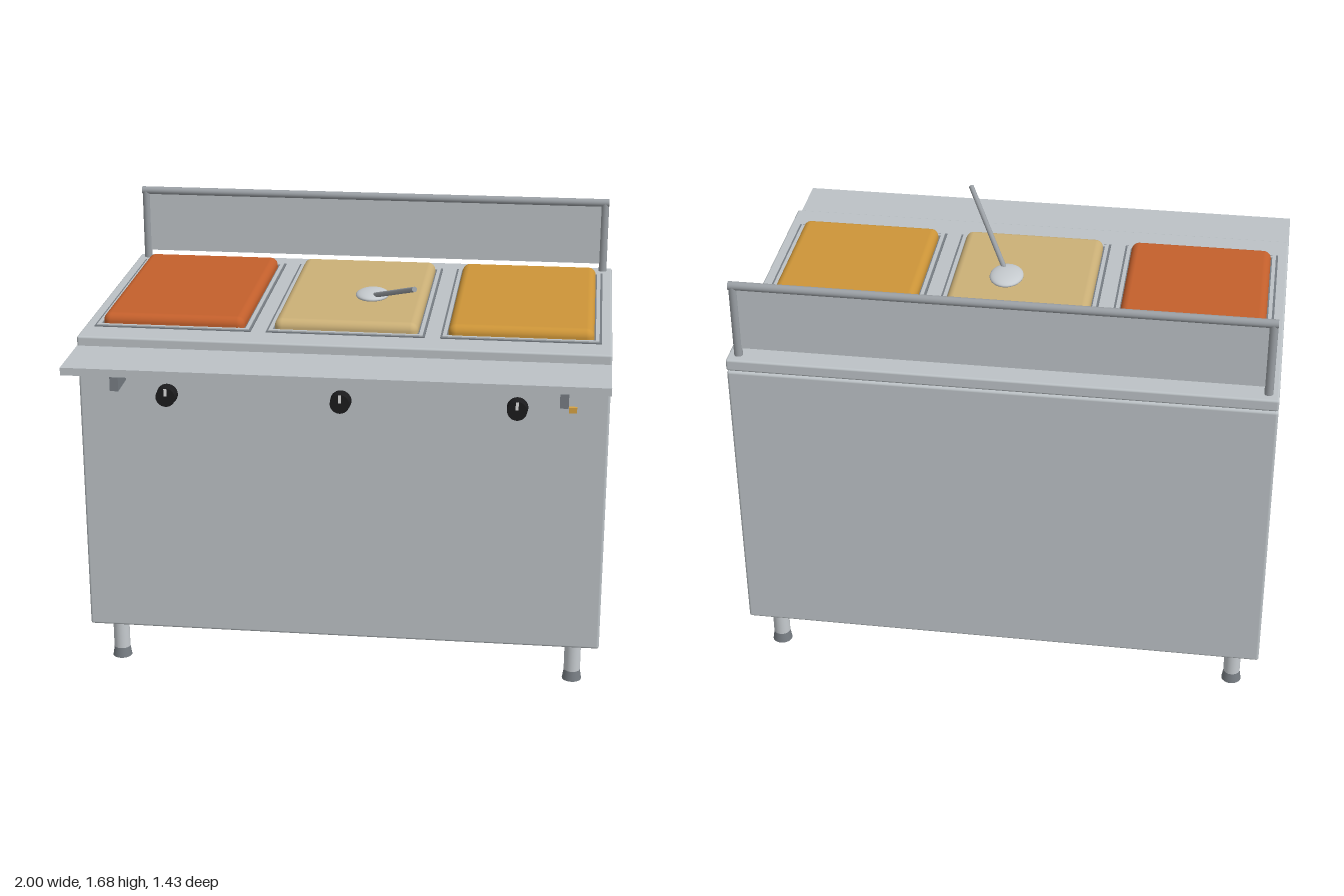
import * as THREE from 'three';
import { RoundedBoxGeometry } from 'three/addons/geometries/RoundedBoxGeometry.js';

const paint = (name, color) => Object.assign(new THREE.MeshStandardMaterial({ color }), { name });

export function createModel() {
  const model = new THREE.Group();
  model.name = 'heatedServingCounter';
  const steel = paint('brushed steel', 0xbcc2c6);
  const brightSteel = paint('polished steel', 0xc6cbcf);
  const midGrey = paint('rail grey', 0x9a9fa4);
  const darkGrey = paint('dark grey', 0x777d83);
  const black = paint('knob black', 0x1b1b1d);
  const white = paint('pointer white', 0xdcdcdc);
  const amber = paint('indicator amber', 0xd6a244);
  const stew = paint('red stew', 0xc4602c);
  const mash = paint('pale mash', 0xcbb077);
  const curry = paint('yellow curry', 0xcd9538);

  const add = (name, geometry, material, x, y, z, parent = model) => {
    const mesh = new THREE.Mesh(geometry, material);
    mesh.name = name;
    mesh.position.set(x, y, z);
    parent.add(mesh);
    return mesh;
  };
  const box = (w, h, d) => new THREE.BoxGeometry(w, h, d);
  const rounded = (w, h, d, r, segments = 3) => new RoundedBoxGeometry(w, h, d, segments, r);

  // Rod between two points
  const rod = (name, a, b, radius, material, parent) => {
    const start = new THREE.Vector3(...a), end = new THREE.Vector3(...b);
    const dir = end.clone().sub(start);
    const middle = start.clone().add(end).multiplyScalar(0.5);
    const mesh = add(name, new THREE.CylinderGeometry(radius, radius, dir.length(), 16), material, ...middle, parent);
    mesh.quaternion.setFromUnitVectors(new THREE.Vector3(0, 1, 0), dir.normalize());
    return mesh;
  };

  // Cabinet, worktop and serving shelf
  add('cabinet', rounded(2, 1.145, 1.16, 0.01), steel, 0, 0.7475, -0.13);
  add('worktopSeam', box(1.98, 0.02, 1.14), darkGrey, 0, 1.322, -0.13);
  add('worktop', rounded(2, 0.046, 1.165, 0.008), steel, 0, 1.348, -0.13);
  add('servingShelf', box(2, 0.029, 0.265), steel, 0, 1.32, 0.5825);

  // Shelf brackets
  for (const side of [-1, 1]) {
    add('shelfBracket', box(0.032, 0.1, 0.135), darkGrey, side * 0.833, 1.255, 0.5175);
  }

  // Legs with flared feet
  for (const x of [-0.9, 0.9]) {
    for (const z of [0.355, -0.613]) {
      add('leg', new THREE.CylinderGeometry(0.032, 0.032, 0.15, 20), brightSteel, x, 0.115, z);
      add('foot', new THREE.CylinderGeometry(0.03, 0.038, 0.05, 20), darkGrey, x, 0.025, z);
    }
  }

  // Flat rectangular frame lying on the worktop
  const frame = (w, d, border, height) => {
    const shape = new THREE.Shape([[-1, -1], [1, -1], [1, 1], [-1, 1]]
      .map(([x, y]) => new THREE.Vector2(x * w / 2, y * d / 2)));
    shape.holes.push(new THREE.Path([[-1, -1], [-1, 1], [1, 1], [1, -1]]
      .map(([x, y]) => new THREE.Vector2(x * (w / 2 - border), y * (d / 2 - border)))));
    return new THREE.ExtrudeGeometry(shape, { depth: height, bevelEnabled: false }).rotateX(-Math.PI / 2);
  };

  // Three filled food pans, each with its control knob
  [stew, mash, curry].forEach((food, i) => {
    const x = (i - 1) * 0.66;
    const pan = new THREE.Group();
    pan.name = 'foodPan';
    pan.position.x = x;
    model.add(pan);
    add('panSeat', box(0.602, 0.005, 0.936), darkGrey, 0, 1.3725, -0.142, pan);
    add('panRim', frame(0.585, 0.919, 0.014, 0.008), steel, 0, 1.371, -0.142, pan);
    add('food', rounded(0.546, 0.09, 0.88, 0.03, 5), food, 0, 1.371, -0.135, pan);

    const knob = new THREE.Group();
    knob.name = 'controlKnob';
    knob.position.set(x, 1.155, 0.45);
    model.add(knob);
    add('knobBody', new THREE.CylinderGeometry(0.037, 0.04, 0.045, 28).rotateX(Math.PI / 2),
      black, 0, 0, 0.0225, knob);
    add('knobPointer', box(0.011, 0.03, 0.004), white, 0, 0.02, 0.0455, knob);
  });

  // Indicator lamp
  add('indicatorLamp', box(0.03, 0.022, 0.016), amber, 0.865, 1.155, 0.456);

  // Rear guard: posts, top rail and panel
  const guard = new THREE.Group();
  guard.name = 'rearGuard';
  model.add(guard);
  for (const x of [-0.961, 0.961]) {
    rod('guardPost', [x, 1.365, -0.668], [x, 1.66, -0.668], 0.016, midGrey, guard);
  }
  rod('guardRail', [-0.977, 1.66, -0.668], [0.977, 1.66, -0.668], 0.016, midGrey, guard);
  add('guardPanel', box(1.895, 0.25, 0.012), steel, 0, 1.528, -0.668, guard);

  // Ladle resting in the middle pan
  const ladle = new THREE.Group();
  ladle.name = 'ladle';
  model.add(ladle);
  const bowl = add('ladleBowl', new THREE.SphereGeometry(1, 28, 16), brightSteel, 0.064, 1.421, -0.053, ladle);
  bowl.scale.set(0.065, 0.02, 0.085);
  rod('ladleHandle', [0.075, 1.428, -0.02], [0.265, 1.572, 0.367], 0.01, midGrey, ladle);

  return model;
}
